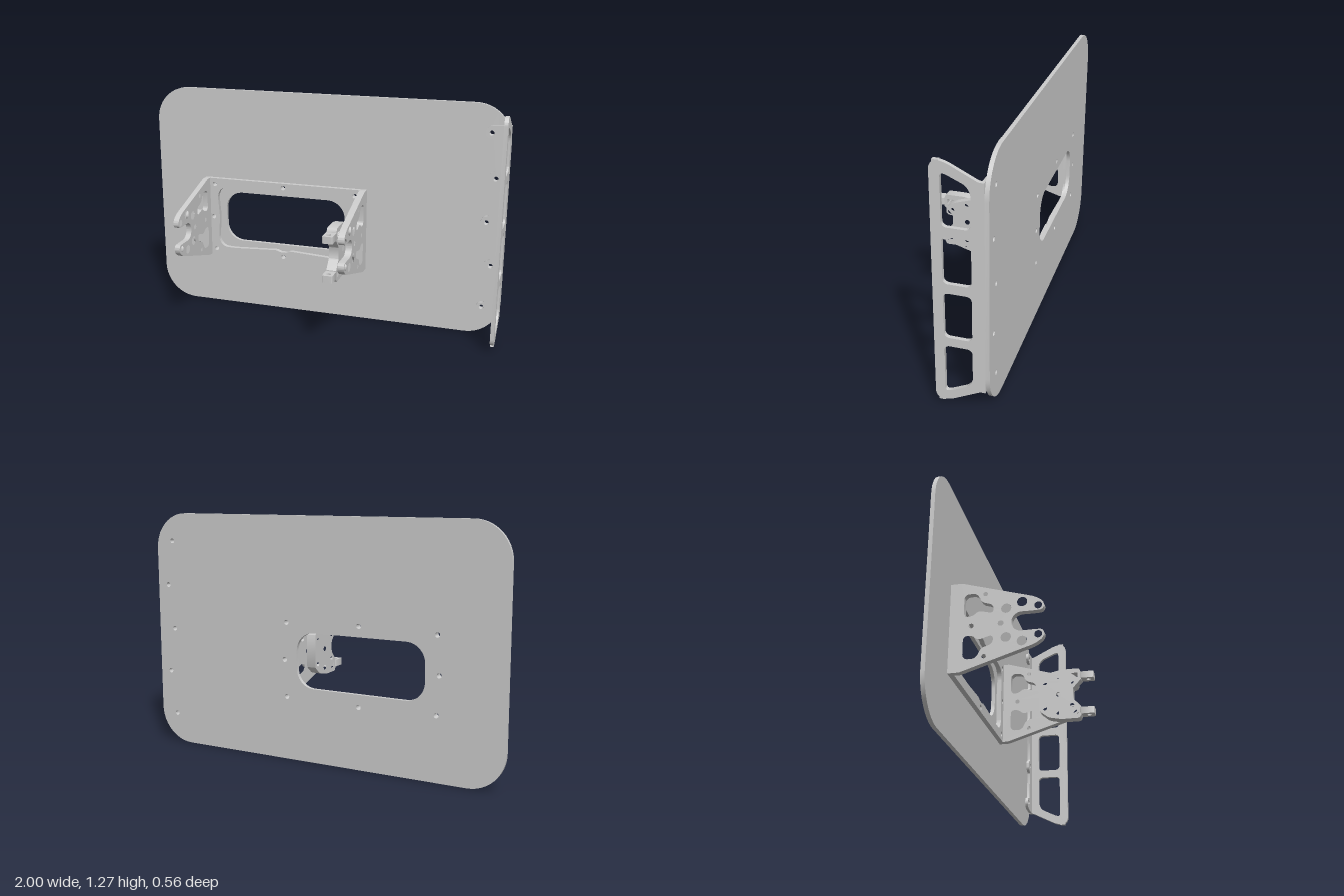
import * as THREE from 'three';
import { toCreasedNormals } from 'three/addons/utils/BufferGeometryUtils.js';

const material = new THREE.MeshStandardMaterial({ color: 0xcccccc });
const MID = 0.53; // height of the bracket's symmetry line

// Closed outline from [x, y, cornerRadius] points
function outline(points, Type = THREE.Shape) {
  const path = new Type();
  const k = 0.5523, n = points.length;
  points.forEach(([x, y, r = 0], i) => {
    const p = new THREE.Vector2(x, y);
    const toward = ([a, b]) => new THREE.Vector2(a, b).sub(p).normalize();
    const dIn = toward(points[(i + n - 1) % n]), dOut = toward(points[(i + 1) % n]);
    const a = p.clone().addScaledVector(dIn, r), b = p.clone().addScaledVector(dOut, r);
    if (i === 0) path.moveTo(a.x, a.y); else path.lineTo(a.x, a.y);
    if (r > 0) {
      const c = p.clone().addScaledVector(dIn, r * (1 - k));
      const d = p.clone().addScaledVector(dOut, r * (1 - k));
      path.bezierCurveTo(c.x, c.y, d.x, d.y, b.x, b.y);
    }
  });
  path.closePath();
  return path;
}
const hole = (points) => outline(points, THREE.Path);
const drill = (x, y, r) => new THREE.Path().absarc(x, y, r, 0, Math.PI * 2, true);
const box = (x0, y0, x1, y1, r) => [[x0, y0, r], [x1, y0, r], [x1, y1, r], [x0, y1, r]];

// Mirror half a profile given as [z, offset, r] about the bracket's middle line
const mirrored = (half) => [
  ...half.map(([z, d, r]) => [z, MID + d, r]),
  ...half.slice().reverse().map(([z, d, r]) => [z, MID - d, r]),
];
// The same holes above and below the middle line
const pairs = (make) => [1, -1].flatMap((s) => make(s));

function sheet(name, points, holes, depth, place) {
  const shape = outline(points);
  shape.holes = holes;
  let geo = new THREE.ExtrudeGeometry(shape, { depth, bevelEnabled: false, curveSegments: 12 });
  place(geo);
  geo = toCreasedNormals(geo, 0.5);
  const mesh = new THREE.Mesh(geo, material);
  mesh.name = name;
  return mesh;
}
const facingFront = (z) => (g) => g.translate(0, 0, z);
const facingSide = (x, depth) => (g) => g.rotateY(-Math.PI / 2).translate(x + depth, 0, 0);

export function createModel() {
  const model = new THREE.Group();
  model.name = 'mountingPanel';

  const handleHoles = [[0.9, 1.12], [0.935, 0.88], [0.9, 0.64], [0.935, 0.4], [0.9, 0.16]];
  const bracketHoles = [
    [-0.65, 0.725], [-0.235, 0.735], [0.18, 0.725], [-0.662, MID],
    [0.192, MID], [-0.65, 0.335], [-0.235, 0.325], [0.18, 0.335],
  ];
  const drillAll = (list) => list.map(([x, y]) => drill(x, y, 0.013));

  // Main panel with window and screw holes
  model.add(sheet('panel', box(-1, 0, 1, 1.27, 0.19),
    [hole(box(-0.59, 0.39, 0.12, 0.68, 0.1)), ...drillAll(handleHoles), ...drillAll(bracketHoles)],
    0.02, facingFront(-0.28)));

  // Bracket base frame; its window steps around the middle screw bosses
  const bracket = new THREE.Group();
  bracket.name = 'bracket';
  const topEdge = [
    [-0.625, 0, 0], [-0.635, 0.13, 0.02], [-0.61, 0.18, 0.03], [-0.53, 0.182, 0.02], [-0.275, 0.168, 0.01],
    [-0.255, 0.178, 0.008], [-0.215, 0.178, 0.008], [-0.195, 0.168, 0.01],
    [0.06, 0.182, 0.02], [0.14, 0.18, 0.03], [0.165, 0.13, 0.02], [0.155, 0, 0],
  ];
  const frameWindow = [
    ...topEdge.map(([x, d, r]) => [x, MID + d, r]),
    ...topEdge.slice(1, -1).reverse().map(([x, d, r]) => [x, MID - d, r]),
  ];
  bracket.add(sheet('bracketBase', box(-0.71, 0.3, 0.245, 0.76, 0),
    [hole(frameWindow), ...drillAll(bracketHoles)], 0.025, facingFront(-0.26)));

  // Forked side arms with lightening cutouts
  const armProfile = mirrored([
    [-0.26, 0.23, 0], [-0.205, 0.23, 0.005], [0.145, 0.121, 0.02], [0.187, 0.092, 0.018],
    [0.187, 0.05, 0.02], [0.14, 0.048, 0.015], [0.035, 0.05, 0.049],
  ]);
  for (const [name, x, depth] of [['leftArm', 0.21, 0.035], ['rightArm', -0.71, 0.03]]) {
    const holes = [drill(-0.015, MID, 0.014), drill(-0.155, MID, 0.012), ...pairs((s) => [
      drill(0.16, MID + s * 0.074, 0.018), drill(0.085, MID + s * 0.1, 0.024),
      drill(0.01, MID + s * 0.074, 0.024), drill(-0.09, MID + s * 0.16, 0.011),
      hole([[-0.05, 0.055, 0.02], [-0.05, 0.1, 0.02], [-0.105, 0.118, 0.015], [-0.13, 0.168, 0.02],
        [-0.192, 0.168, 0.025], [-0.192, 0.05, 0.02], [-0.15, 0.05, 0.015], [-0.12, 0.075, 0.015]]
        .map(([z, d, r]) => [z, MID + s * d, r])),
    ])];
    bracket.add(sheet(name, armProfile, holes, depth, facingSide(x, depth)));
  }
  model.add(bracket);

  // Clasp block on the inside of the left arm
  const clasp = new THREE.Group();
  clasp.name = 'clasp';
  const claspProfile = mirrored([
    [-0.02, 0.09, 0.01], [0.03, 0.13, 0.015], [0.1, 0.145, 0.01], [0.2, 0.145, 0.008],
    [0.21, 0.123, 0], [0.21, 0.08, 0], [0.165, 0.03, 0.008],
  ]);
  clasp.add(sheet('claspBody', claspProfile, [drill(0.085, MID, 0.013), ...pairs((s) => [
    drill(0.16, MID + s * 0.07, 0.012), drill(0.085, MID + s * 0.105, 0.013), drill(0.01, MID + s * 0.074, 0.013),
    hole([[0.192, 0.12], [0.155, 0.12], [0.192, 0.09]].map(([z, d]) => [z, MID + s * d, 0.004])),
  ])], 0.052, facingSide(0.158, 0.052)));
  for (const [name, top] of [['upperTab', 0.653], ['lowerTab', 0.445]]) {
    clasp.add(sheet(name, box(0.155, 0.205, 0.21, 0.28, 0.005), [drill(0.182, 0.25, 0.012)], 0.038,
      (g) => g.rotateX(Math.PI / 2).translate(0, top, 0)));
  }
  model.add(clasp);

  // Handle: a pierced grip standing on a scalloped foot
  const handle = new THREE.Group();
  handle.name = 'handle';
  handle.add(sheet('handleGrip', [
    [-0.26, 0.11, 0], [-0.235, 0.11, 0.01], [-0.075, 0.03, 0.04], [-0.02, 0.03, 0.045],
    [-0.02, 1.245, 0.045], [-0.075, 1.245, 0.04], [-0.235, 1.165, 0.01], [-0.26, 1.165, 0],
  ], [
    hole([[-0.2, 0.335, 0.025], [-0.2, 0.14, 0.04], [-0.085, 0.085, 0.02], [-0.068, 0.085, 0.015], [-0.068, 0.335, 0.025]]),
    hole(box(-0.2, 0.38, -0.068, 0.612, 0.025)),
    hole(box(-0.2, 0.66, -0.068, 0.892, 0.025)),
    hole([[-0.2, 0.938, 0.025], [-0.2, 1.135, 0.04], [-0.085, 1.187, 0.02], [-0.068, 1.187, 0.015], [-0.068, 0.938, 0.025]]),
  ], 0.02, facingSide(0.98, 0.02)));
  const footEdge = [
    [1, 1.165, 0], [0.885, 1.158, 0.02], [0.862, 1.12, 0.02], [0.885, 1.088, 0.015], [0.91, 1.09, 0.01],
    [0.93, 0.92, 0.01], [0.9, 0.905, 0.012], [0.9, 0.855, 0.012], [0.93, 0.84, 0.01], [0.91, 0.675, 0.01],
    [0.88, 0.672, 0.015], [0.864, 0.637, 0.015],
  ];
  const lowerEdge = footEdge.slice(0, -1).reverse().map(([x, y, r]) => [x, 1.275 - y, r]);
  handle.add(sheet('handleFoot', [...footEdge, ...lowerEdge], drillAll(handleHoles), 0.016, facingFront(-0.26)));
  model.add(handle);

  return model;
}
